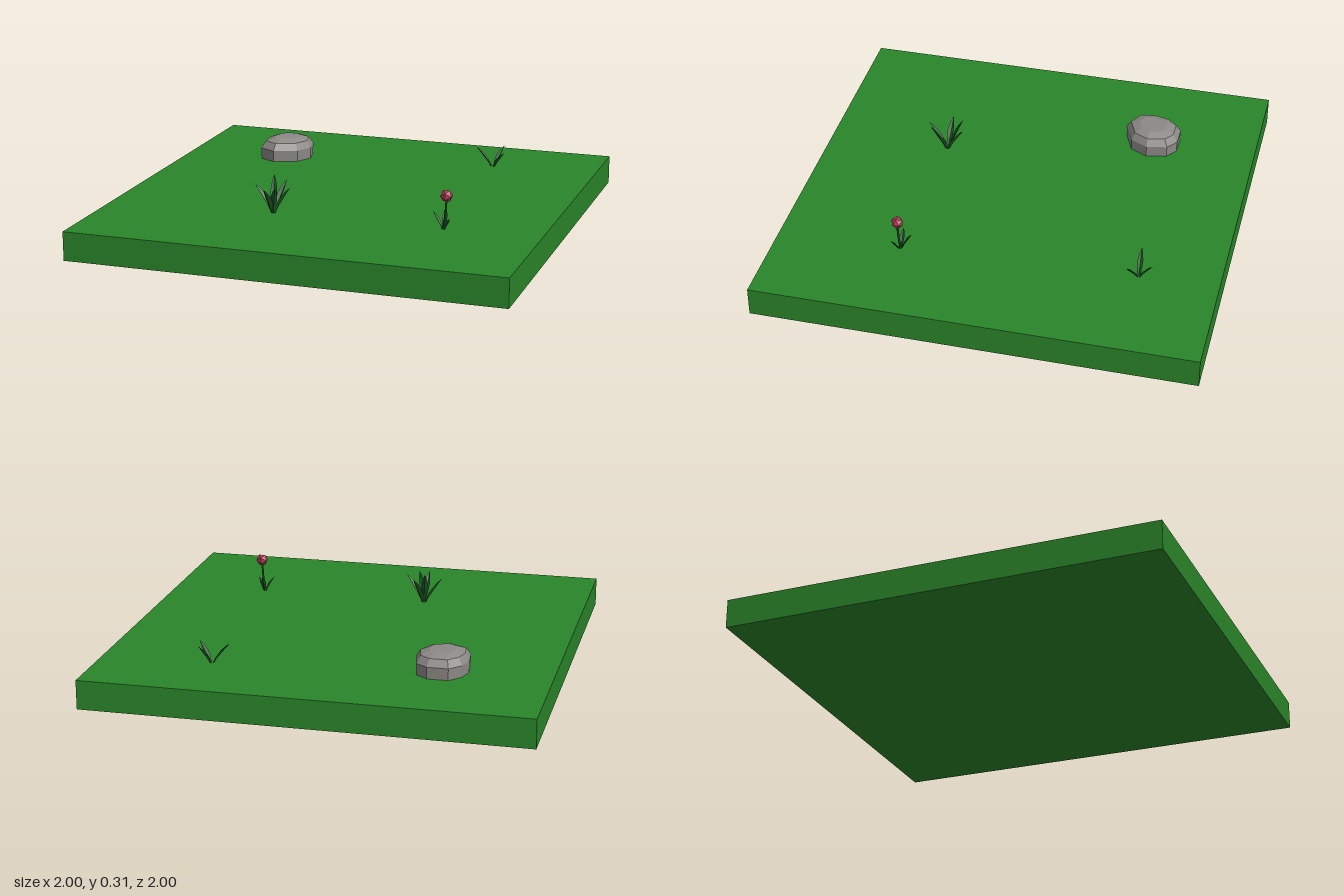
import * as THREE from 'three';

const material = (color, side = THREE.FrontSide) =>
  new THREE.MeshStandardMaterial({ color, flatShading: true, side });
const groundMat = material(0x2a852a);
const rockMat = material(0x8c8986);
const leafMat = material(0x1d5c24, THREE.DoubleSide);
const petalMat = material(0xb23a55);
const TOP = 0.133;

function part(name, geometry, mat) {
  const mesh = new THREE.Mesh(geometry, mat);
  mesh.name = name;
  return mesh;
}

// Joins equal-length rings of points into a surface, optionally closed round and capped
function loft(rings, closed, cap) {
  const n = rings[0].length, pos = rings.flat().flatMap(p => [p.x, p.y, p.z]), index = [];
  for (let r = 0; r < rings.length - 1; r++) {
    for (let i = 0; i < (closed ? n : n - 1); i++) {
      const a = r * n + i, b = r * n + (i + 1) % n;
      index.push(a, a + n, b + n, a, b + n, b);
    }
  }
  if (cap) {
    const last = (rings.length - 1) * n;
    for (let i = 1; i < n - 1; i++) index.push(last, last + i + 1, last + i);
  }
  const g = new THREE.BufferGeometry();
  g.setAttribute('position', new THREE.Float32BufferAttribute(pos, 3));
  g.setIndex(index);
  const flat = g.toNonIndexed();
  flat.computeVertexNormals();
  return flat;
}

// Rock: one irregular outline, drawn in towards a flat top
function rock() {
  const outline = [[-0.56, -0.635], [-0.465, -0.635], [-0.41, -0.595], [-0.39, -0.5], [-0.43, -0.42],
    [-0.54, -0.375], [-0.62, -0.42], [-0.63, -0.51], [-0.61, -0.58]];
  const levels = [[TOP - 0.01, 0.98], [0.187, 1], [0.22, 0.83], [0.235, 0.5]];
  const rings = levels.map(([y, s]) => outline.map(([x, z]) =>
    new THREE.Vector3(-0.51 + (x + 0.51) * s, y, -0.505 + (z + 0.505) * s)));
  return part('rock', loft(rings, true, true), rockMat);
}

// Blade: folded leaf arching outwards from its base to a pointed tip
function blade(base, tip, width) {
  const out = new THREE.Vector3(tip.x - base.x, 0, tip.z - base.z);
  const bend = base.clone().addScaledVector(out, 0.32);
  bend.y = base.y + (tip.y - base.y) * 0.62;
  const curve = new THREE.QuadraticBezierCurve3(base, bend, tip);
  out.normalize();
  const side = new THREE.Vector3(-out.z, 0, out.x);
  const rings = [[0, 0.35], [0.3, 0.85], [0.55, 1], [0.8, 0.6], [1, 0.01]].map(([t, w]) => {
    const p = curve.getPoint(t), h = width * w / 2;
    const ridge = p.clone().addScaledVector(out, h * 0.5).add(new THREE.Vector3(0, -h * 0.5, 0));
    return [p.clone().addScaledVector(side, -h), ridge, p.clone().addScaledVector(side, h)];
  });
  return part('blade', loft(rings, false, false), leafMat);
}

// Tuft: blades fanning from one point to the listed tips
function tuft(name, x, z, width, tips) {
  const group = new THREE.Group();
  group.name = name;
  for (const [tx, ty, tz] of tips) {
    const base = new THREE.Vector3(x + (tx - x) * 0.06, TOP - 0.003, z + (tz - z) * 0.06);
    group.add(blade(base, new THREE.Vector3(tx, ty, tz), width));
  }
  return group;
}

// Flower: bent stem, small leaves and a faceted bloom
function flower() {
  const group = tuft('flower', 0.56, 0.435, 0.022,
    [[0.508, 0.21, 0.43], [0.555, 0.215, 0.38], [0.595, 0.19, 0.465]]);
  const stem = new THREE.CatmullRomCurve3([
    new THREE.Vector3(0.555, TOP - 0.003, 0.435),
    new THREE.Vector3(0.568, 0.2, 0.438),
    new THREE.Vector3(0.573, 0.27, 0.44)]);
  group.add(part('stem', new THREE.TubeGeometry(stem, 5, 0.005, 5), leafMat));
  const bloom = part('bloom', new THREE.IcosahedronGeometry(0.029, 0), petalMat);
  bloom.position.set(0.573, 0.286, 0.44);
  group.add(bloom);
  return group;
}

export function createModel() {
  const model = new THREE.Group();
  model.name = 'meadowTile';
  const ground = part('ground', new THREE.BoxGeometry(2, TOP, 2), groundMat);
  ground.position.y = TOP / 2;
  model.add(ground, rock(), flower());
  model.add(tuft('largeGrassTuft', -0.235, 0.435, 0.03, [
    [-0.325, 0.258, 0.425], [-0.2, 0.268, 0.345], [-0.255, 0.29, 0.36],
    [-0.145, 0.262, 0.457], [-0.245, 0.26, 0.525], [-0.2, 0.265, 0.505]]));
  model.add(tuft('smallGrassTuft', 0.5, -0.64, 0.025, [
    [0.415, 0.226, -0.635], [0.54, 0.225, -0.705], [0.567, 0.215, -0.593]]));
  return model;
}
